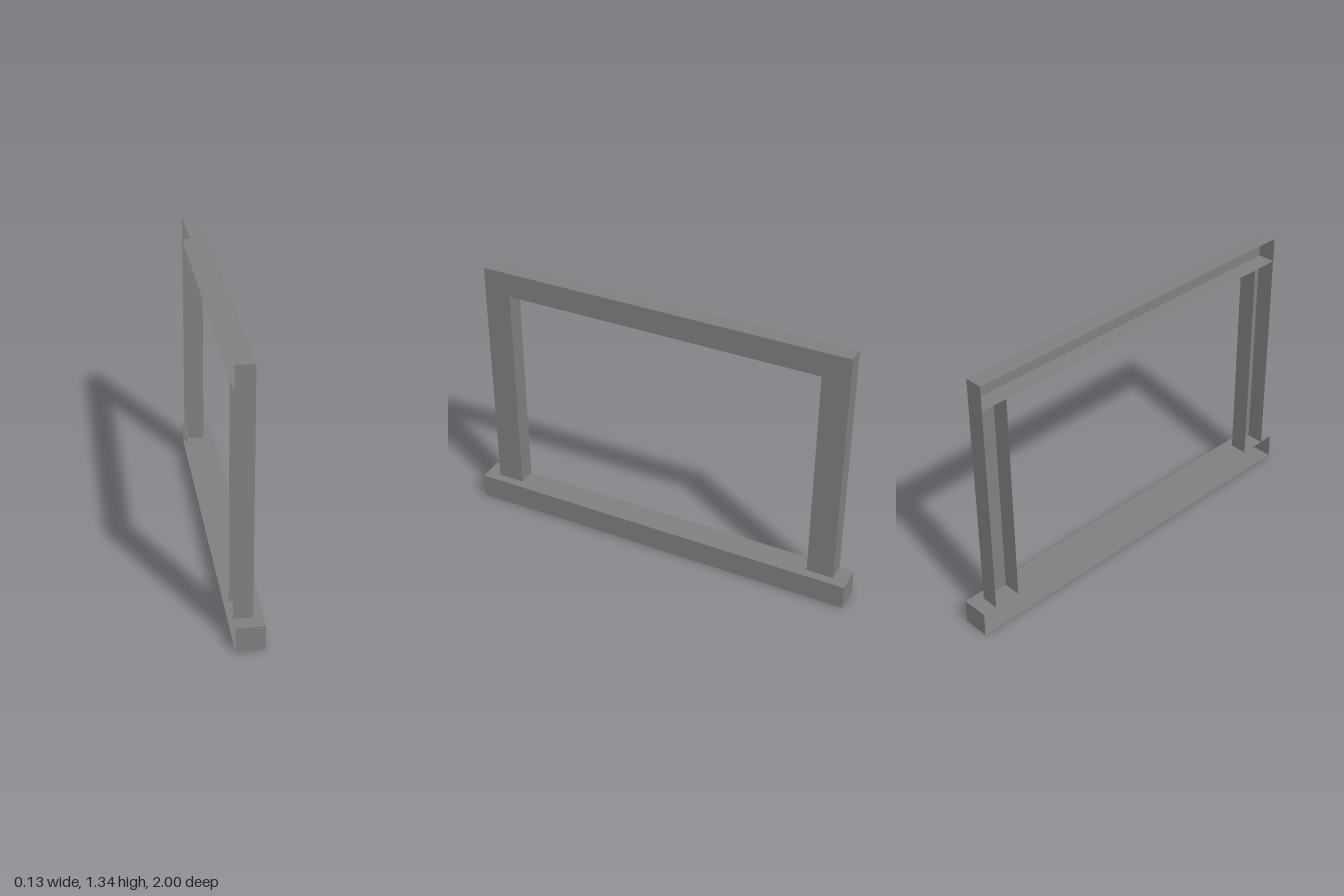
import * as THREE from 'three';

const SIDES = ['px', 'nx', 'py', 'ny', 'pz', 'nz'];

// Box between two corners, with the listed sides left open
function openBox(name, min, max, open, material) {
  const size = max.map((v, i) => v - min[i]);
  const geo = new THREE.BoxGeometry(...size);
  const all = Array.from(geo.index.array);
  geo.setIndex(all.filter((_, i) => !open.includes(SIDES[Math.floor(i / 6)])));
  geo.clearGroups();
  geo.translate(...max.map((v, i) => (v + min[i]) / 2));
  const mesh = new THREE.Mesh(geo, material);
  mesh.name = name;
  return mesh;
}

export function createModel() {
  const group = new THREE.Group();
  group.name = 'windowTrim';
  const grey = new THREE.MeshStandardMaterial({ color: 0x808080, side: THREE.DoubleSide });
  grey.name = 'grey';

  const back = -0.067, face = 0.022, sillFace = 0.067;
  const sillTop = 0.124, beamBottom = 1.22, top = 1.343;
  const outer = 0.927, inner = 0.793;

  // Hollow sill and head, open on the wall side
  group.add(openBox('sill', [back, 0, -1], [sillFace, sillTop, 1], ['nx'], grey));
  group.add(openBox('headTrim', [back, beamBottom, -outer], [face, top, outer], ['nx'], grey));

  // Hollow side posts standing between sill and head
  const open = ['nx', 'py', 'ny'];
  group.add(openBox('frontPost', [back, sillTop, inner], [face, beamBottom, outer], open, grey));
  group.add(openBox('backPost', [back, sillTop, -outer], [face, beamBottom, -inner], open, grey));
  return group;
}
